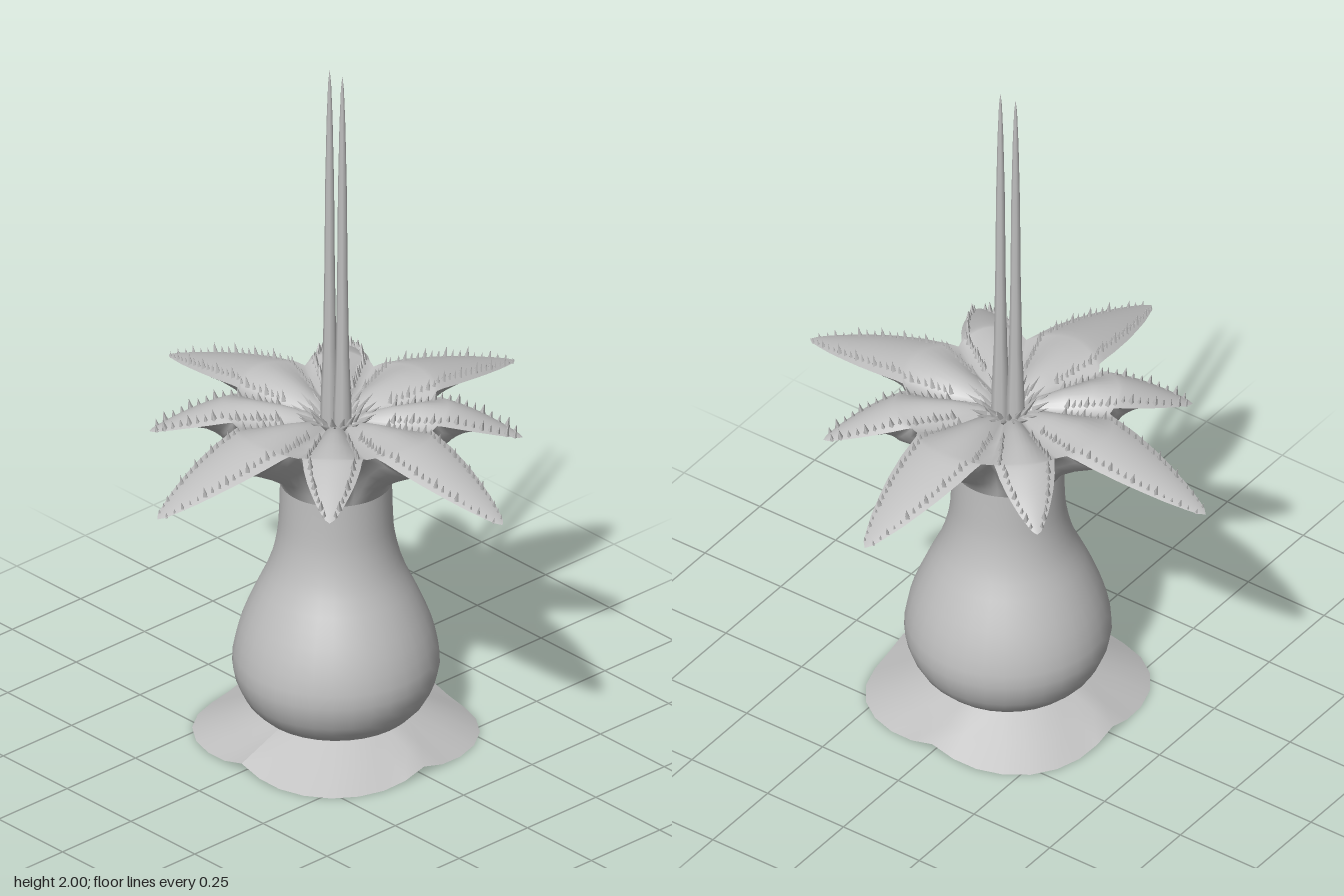
import * as THREE from 'three';
import { mergeGeometries, mergeVertices } from 'three/addons/utils/BufferGeometryUtils.js';

const mix = THREE.MathUtils.lerp;
const skin = new THREE.MeshStandardMaterial({ color: 0xc0c0c0, side: THREE.DoubleSide });
skin.name = 'grey';

// Smooth grid surface from point(i, j)
function gridSurface(rows, cols, point) {
  const pos = [], idx = [];
  for (let i = 0; i <= rows; i++) for (let j = 0; j <= cols; j++) pos.push(...point(i, j));
  for (let i = 0; i < rows; i++) for (let j = 0; j < cols; j++) {
    const a = i * (cols + 1) + j, b = a + cols + 1;
    idx.push(a, a + 1, b, b, a + 1, b + 1);
  }
  const g = new THREE.BufferGeometry();
  g.setAttribute('position', new THREE.Float32BufferAttribute(pos, 3));
  g.setIndex(idx);
  return g;
}

// Inner rows: [mid radius, edge radius, mid height, edge height]
const TOP = [[0.03, 0.03, 0.93, 0.93], [0.08, 0.08, 0.965, 0.95], [0.15, 0.15, 0.983, 0.945],
  [0.23, 0.21, 0.993, 0.95], [0.3, 0.277, 0.99, 0.965]];
const UNDER = [[0.15, 0.15, 0.76, 0.76], [0.165, 0.158, 0.785, 0.79], [0.19, 0.172, 0.815, 0.83],
  [0.24, 0.21, 0.85, 0.9], [0.3, 0.277, 0.885, 0.965]];
// Outer rows: [fraction of the way to the tip, width factor]
const BLADE = [[0.05, 0.89], [0.12, 0.86], [0.25, 0.82], [0.45, 0.7], [0.6, 0.57], [0.75, 0.42],
  [0.88, 0.25], [0.96, 0.13], [1, 0]];

// Rows of one petal: [mid axis, edge axis, half width, mid height, edge height]
function petalRows(inner, half, length, tipY, under) {
  const rows = inner.map(([rm, re, ym, ye]) =>
    [rm, re * Math.cos(half), re * Math.sin(half), ym, ye]);
  const [m0, e0, w0] = rows[rows.length - 1];
  for (const [f, w] of BLADE) {
    const crest = mix(0.99, tipY, f ** 1.25);
    const depth = under ? 0.105 * (1 - f) ** 2.3 : 0;
    rows.push([mix(m0, length, f), mix(e0, length, f), w0 * w, crest - depth,
      crest - 0.015 * (1 - f)]);
  }
  return rows;
}
function petalPoint([m, e, w, ym, ye], s) {
  return [w * s, mix(ym, ye, s * s), mix(m, e, s * s)];
}

// Small pointed spike standing at a point, leaning by tilt towards +z
function spike(r, h, [x, y, z], tilt) {
  return new THREE.ConeGeometry(r, h, 4, 1, true).translate(0, h / 2, 0).rotateX(tilt).translate(x, y, z);
}

export function createModel() {
  const group = new THREE.Group();
  const add = (name, geometry) => {
    const mesh = new THREE.Mesh(geometry, skin);
    mesh.name = name;
    group.add(mesh);
  };

  // Bulbous hollow body
  const profile = new THREE.SplineCurve([[0.21, 0.08], [0.25, 0.125], [0.278, 0.21], [0.263, 0.31],
    [0.225, 0.41], [0.18, 0.51], [0.158, 0.6], [0.152, 0.68], [0.15, 0.76]]
    .map(([x, y]) => new THREE.Vector2(x, y)));
  add('body', new THREE.LatheGeometry(profile.getPoints(20), 32));

  // Wavy skirt at the foot
  const skirt = gridSurface(2, 32, (i, j) => {
    const a = j / 32 * Math.PI * 2, f = i / 2, c = Math.cos(4 * a);
    const r = mix(0.21, 0.365 - 0.02 * c, f);
    const y = mix(0.08, 0.025 * Math.max(0, c) ** 4, f);
    return [r * Math.sin(a), y, r * Math.cos(a)];
  });
  skirt.computeVertexNormals();
  add('skirt', skirt);

  // Four long and four short petals, joined edge to edge
  const tops = [], unders = [], spikes = [];
  const halfLong = 0.447, halfShort = Math.PI / 4 - halfLong;
  for (let k = 0; k < 8; k++) {
    const short = k % 2, turn = k * Math.PI / 4;
    const size = short ? [halfShort, 0.5, 0.9] : [halfLong, 0.653, 0.883];
    const top = petalRows(TOP, ...size, false), under = petalRows(UNDER, ...size, true);
    tops.push(gridSurface(top.length - 1, 10, (i, j) => petalPoint(top[i], j / 5 - 1)).rotateY(turn));
    unders.push(gridSurface(under.length - 1, 10, (i, j) => petalPoint(under[i], 1 - j / 5)).rotateY(turn));

    // Spikes in a line inside each petal edge
    const count = short ? 17 : 24;
    for (let n = 0; n < count; n++) {
      const reach = mix(0.16, size[1] - 0.02, n / (count - 1));
      let i = 0;
      while (i < top.length - 2 && top[i + 1][0] < reach) i++;
      const f = (reach - top[i][0]) / (top[i + 1][0] - top[i][0]);
      const row = top[i].map((v, q) => mix(v, top[i + 1][q], f));
      const big = (n % 3 === 0 ? 1.25 : 0.9) * (reach > 0.55 ? 0.75 : 1);
      for (const s of [-0.74, 0.74]) {
        const p = petalPoint(row, s);
        p[1] -= 0.004;
        spikes.push(spike(0.007 * big, 0.027 * big, p, 0.2).rotateY(turn));
      }
    }
  }
  const joined = (list) => {
    const g = mergeVertices(mergeGeometries(list), 1e-4);
    g.computeVertexNormals();
    return g;
  };
  add('petalTops', joined(tops));
  add('petalUndersides', joined(unders));
  add('petalSpikes', mergeGeometries(spikes));

  // Crown of leaning spikes around the throat
  const crown = [];
  for (const [count, r, length, tilt] of [[20, 0.068, 0.065, 0.95], [14, 0.05, 0.05, 0.6]])
    for (let n = 0; n < count; n++)
      crown.push(spike(0.009, length * (n % 2 ? 1 : 0.85), [0, 0.95, r], tilt)
        .rotateY((n + 0.5) / count * Math.PI * 2));
  add('throatCrown', mergeGeometries(crown));

  // Two tall tapering stalks
  const stalk = [[0.026, 0.9], [0.024, 1.0], [0.018, 1.15], [0.014, 1.4], [0.012, 1.65], [0.008, 1.85],
    [0.004, 1.96], [0, 2]].map(([x, y]) => new THREE.Vector2(x, y));
  for (const side of [-1, 1]) {
    const g = new THREE.LatheGeometry(stalk, 8);
    g.translate(side * 0.025, 0, 0);
    add(side > 0 ? 'leftStalk' : 'rightStalk', g);
  }
  return group;
}
